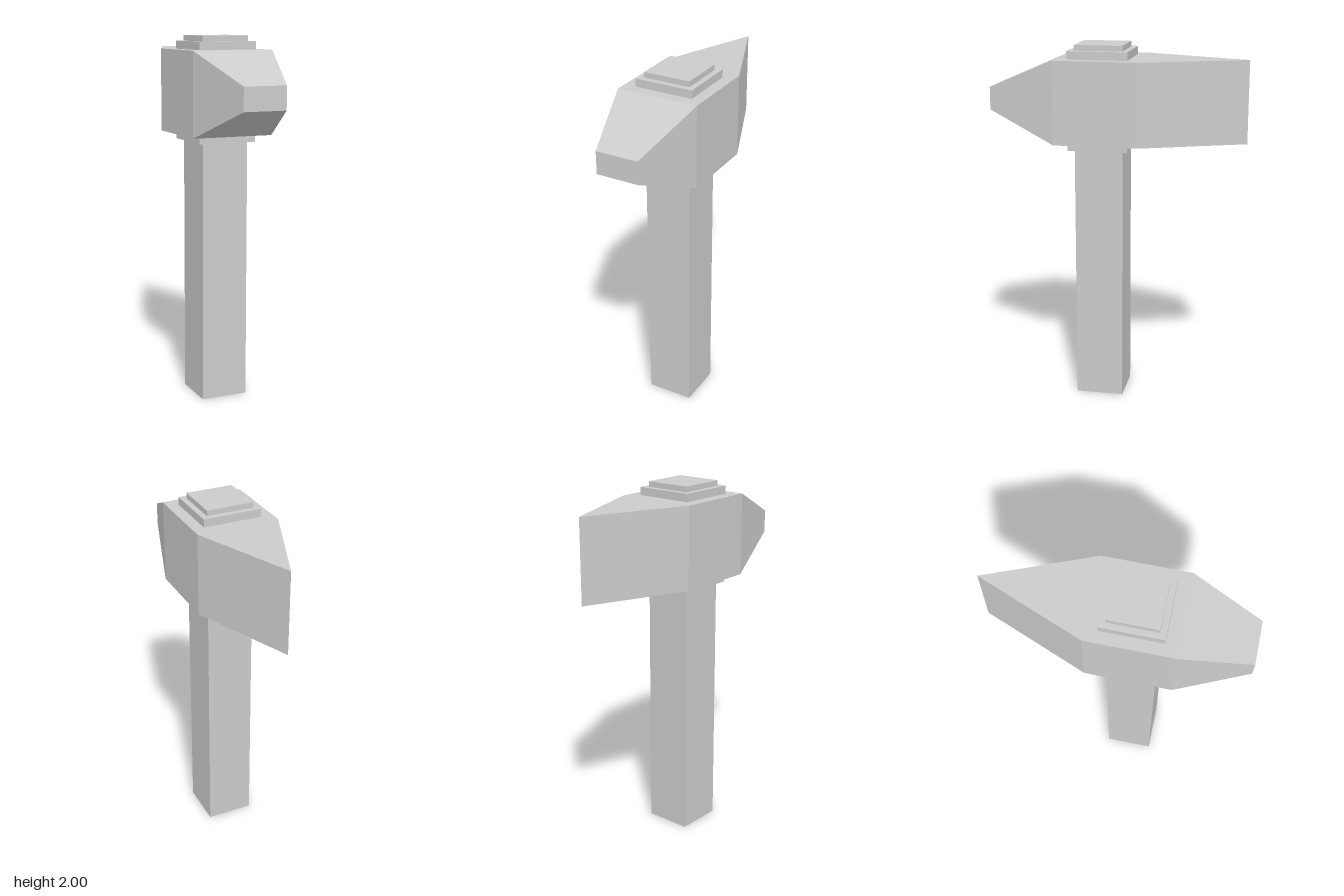
import * as THREE from 'three';
import { ConvexGeometry } from 'three/addons/geometries/ConvexGeometry.js';

const MID_Y = 1.7;      // height of the head's axis
const SHAFT_Z = 0.093;  // the handle sits slightly forward of centre

export function createModel() {
  const group = new THREE.Group();
  const material = new THREE.MeshStandardMaterial({ color: 0xcccccc, flatShading: true });

  const add = (name, geometry, x = 0, y = 0, z = 0) => {
    const mesh = new THREE.Mesh(geometry, material);
    mesh.name = name;
    mesh.position.set(x, y, z);
    group.add(mesh);
  };

  // Square handle running through the head
  add('handle', new THREE.BoxGeometry(0.262, 2, 0.264), 0, 1, SHAFT_Z);

  // Collar showing above and below the head
  add('collar', new THREE.BoxGeometry(0.326, 0.536, 0.328), 0, 1.702, SHAFT_Z);

  // Head: cross-sections [z, half width, half height] from rear edge to striking face
  const sections = [
    [-0.7, 0, 0.226],
    [-0.135, 0.227, 0.226],
    [0.322, 0.227, 0.226],
    [0.7, 0.118, 0.062],
  ];
  const corners = [];
  for (const [z, w, h] of sections) {
    for (const sx of w ? [-1, 1] : [0]) {
      for (const sy of [-1, 1]) corners.push(new THREE.Vector3(sx * w, sy * h, z));
    }
  }
  add('head', new ConvexGeometry(corners), 0, MID_Y, 0);

  return group;
}
